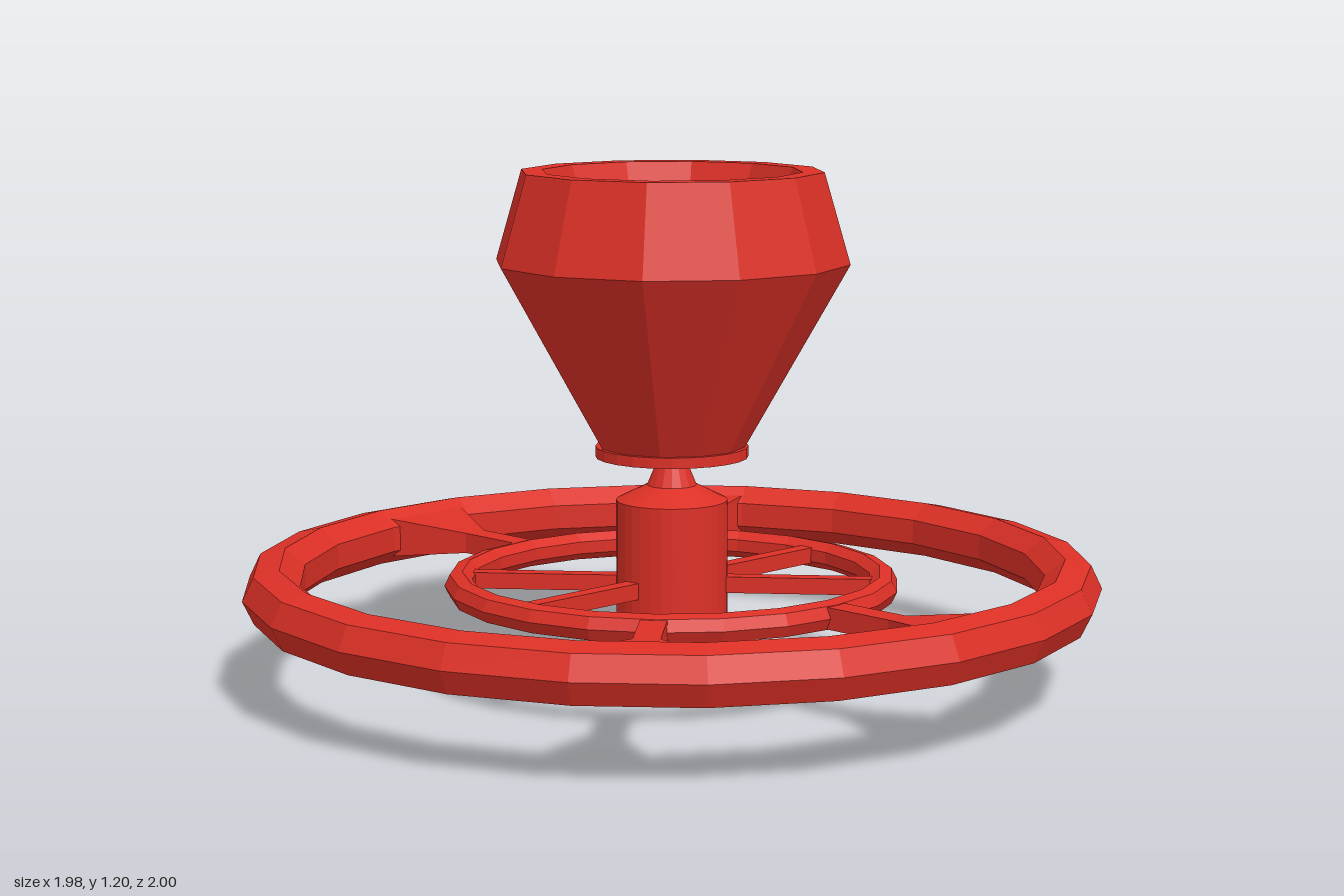
import * as THREE from 'three';

const RING_Y = 0.237;

export function createModel() {
  const model = new THREE.Group();
  model.name = 'handwheel';
  const red = new THREE.MeshStandardMaterial({ color: 0xdc3026, flatShading: true });
  red.name = 'red';

  const add = (name, geometry, parent = model) => {
    const mesh = new THREE.Mesh(geometry, red);
    mesh.name = name;
    parent.add(mesh);
    return mesh;
  };
  const lathe = (points, sides) =>
    new THREE.LatheGeometry(points.map(([r, y]) => new THREE.Vector2(r, y)), sides);

  // Flat-lying rings, each with a seven-sided tube
  const ring = (name, radius, tube, turn) => {
    const geometry = new THREE.TorusGeometry(radius, tube, 7, 22).rotateX(-Math.PI / 2).rotateY(turn);
    add(name, geometry).position.y = RING_Y;
  };
  ring('outerRing', 0.93, 0.07, Math.PI / 2);
  ring('innerRing', 0.497, 0.034, 0);

  // Hub post with chamfered ends and a tapered neck
  add('hub', lathe([[0, 0], [0.113, 0], [0.13, 0.03], [0.13, 0.435], [0.06, 0.47], [0, 0.47]], 32));
  add('neck', lathe([[0.06, 0.465], [0.035, 0.525]], 16));

  // Cup: base plate and faceted bowl with a shallow recess
  add('cupBase', lathe([[0, 0.515], [0.05, 0.515], [0.178, 0.537], [0.178, 0.562], [0, 0.562]], 24));
  const bowl = lathe([
    [0.17, 0.56], [0.413, 0.99], [0.352, 1.2], [0.302, 1.2], [0.225, 0.97], [0, 0.97],
  ], 12);
  add('cup', bowl.rotateY(THREE.MathUtils.degToRad(6)));

  // Box along +x whose far end may be wider and taller
  const taperedBar = (x0, x1, [w0, h0], [w1, h1]) => {
    const geometry = new THREE.BoxGeometry(x1 - x0, 1, 1).translate((x0 + x1) / 2, 0, 0);
    const p = geometry.attributes.position;
    for (let i = 0; i < p.count; i++) {
      const far = p.getX(i) > (x0 + x1) / 2;
      p.setY(i, p.getY(i) * (far ? h1 : h0));
      p.setZ(i, p.getZ(i) * (far ? w1 : w0));
    }
    return geometry;
  };

  // Outer spokes with flared ends, angles measured from +x towards +z
  for (const degrees of [0, 49.5, 180, 229.5]) {
    const spoke = new THREE.Group();
    spoke.name = 'outerSpoke';
    spoke.position.y = RING_Y;
    spoke.rotation.y = -THREE.MathUtils.degToRad(degrees);
    add('spokeBar', taperedBar(0.5, 0.7, [0.06, 0.05], [0.06, 0.05]), spoke);
    add('spokeFlare', taperedBar(0.695, 0.9, [0.06, 0.05], [0.25, 0.1]), spoke);
    model.add(spoke);
  }

  // Thin inner spokes from hub to inner ring
  for (const degrees of [90, 140, 270, 320]) {
    const spoke = add('innerSpoke', taperedBar(0.1, 0.49, [0.038, 0.038], [0.038, 0.038]));
    spoke.position.y = RING_Y;
    spoke.rotation.y = -THREE.MathUtils.degToRad(degrees);
  }

  return model;
}
